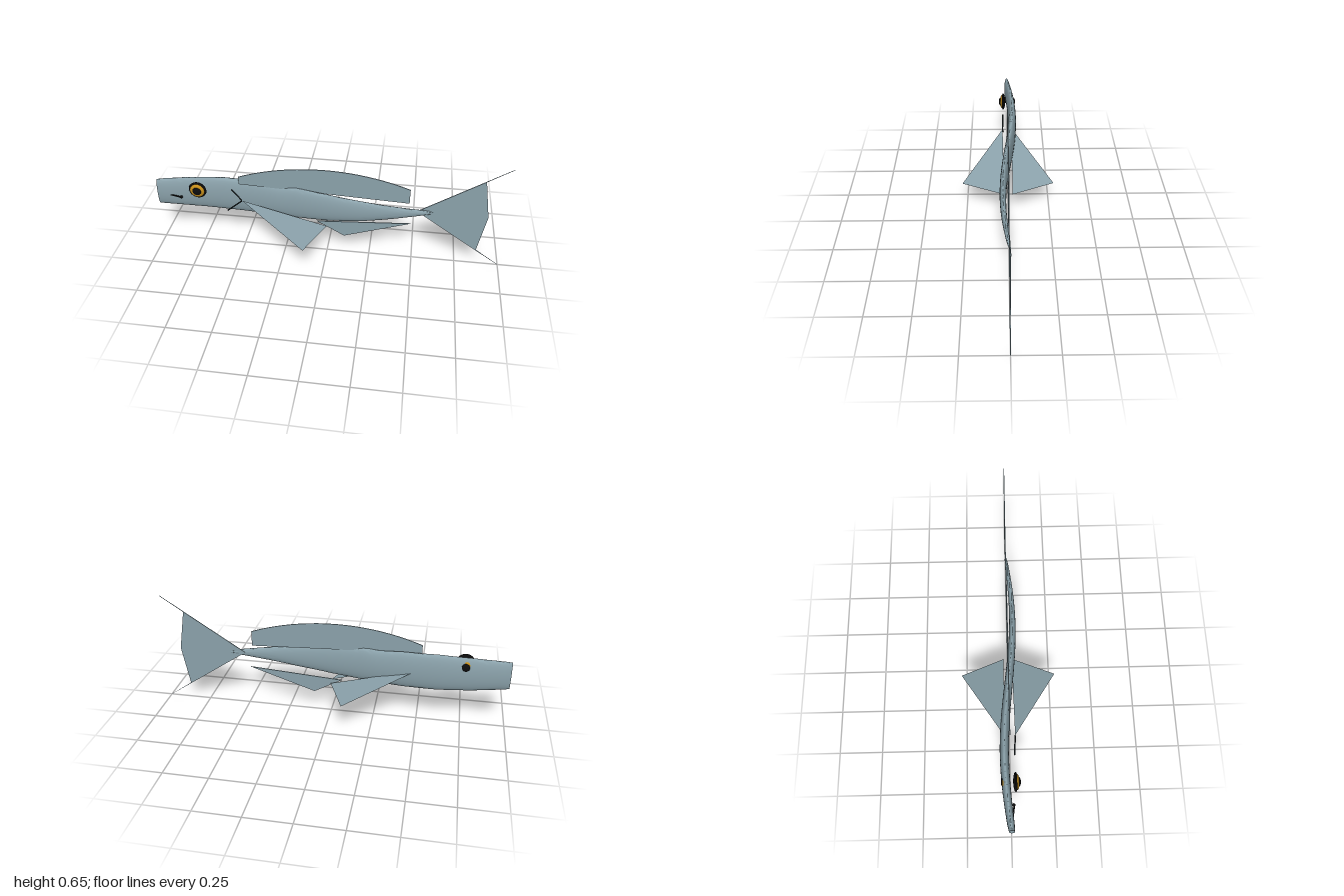
import * as THREE from 'three';
import { toCreasedNormals } from 'three/addons/utils/BufferGeometryUtils.js';

const material = (name, color, side = THREE.FrontSide) => {
  const m = new THREE.MeshStandardMaterial({ color, side });
  m.name = name;
  return m;
};

// Body stations: x, top y, bottom y, half width
const STATIONS = [
  [-1, 0.413, 0.247, 0.016], [-0.96, 0.418, 0.243, 0.02], [-0.8, 0.431, 0.231, 0.023],
  [-0.6, 0.441, 0.221, 0.025], [-0.4, 0.436, 0.219, 0.025], [-0.27, 0.424, 0.222, 0.024],
  [-0.18, 0.43, 0.225, 0.023], [0, 0.416, 0.236, 0.021], [0.2, 0.393, 0.258, 0.018],
  [0.4, 0.367, 0.291, 0.014], [0.54, 0.35, 0.315, 0.01], [0.58, 0.344, 0.322, 0.007],
  [0.6, 0.336, 0.329, 0.003],
];

function sampleStation(x) {
  let i = 0;
  while (i < STATIONS.length - 2 && x > STATIONS[i + 1][0]) i++;
  const a = STATIONS[i], b = STATIONS[i + 1];
  const t = THREE.MathUtils.clamp((x - a[0]) / (b[0] - a[0]), 0, 1);
  return a.map((v, k) => v + (b[k] - v) * t);
}

// Sideways swimming wave of the spine
const spineZ = (x) => -0.031 * Math.sin(((x + 1) / 0.8) * Math.PI);

function bodyGeometry() {
  const g = new THREE.CylinderGeometry(1, 1, 1.6, 32, 80);
  g.rotateZ(-Math.PI / 2);
  const p = g.attributes.position;
  for (let i = 0; i < p.count; i++) {
    const x = p.getX(i) - 0.2;
    const [, top, bottom, w] = sampleStation(x);
    p.setXYZ(i, x, (top + bottom) / 2 + p.getY(i) * (top - bottom) / 2, spineZ(x) + p.getZ(i) * w);
  }
  return toCreasedNormals(g, 0.9);
}

// Thin upright fin centred on z = 0
function finGeometry(shape) {
  const g = new THREE.ExtrudeGeometry(shape, { depth: 0.005, bevelEnabled: false, curveSegments: 20 });
  return g.translate(0, 0, -0.0025);
}

const outline = (points) => new THREE.Shape(points.map(([x, y]) => new THREE.Vector2(x, y)));

function triangleGeometry(...corners) {
  const g = new THREE.BufferGeometry();
  g.setAttribute('position', new THREE.Float32BufferAttribute(corners.flat(), 3));
  g.computeVertexNormals();
  return g;
}

function lineGeometry(points, radius) {
  const path = new THREE.CurvePath();
  const v = points.map((p) => new THREE.Vector3(...p));
  for (let i = 1; i < v.length; i++) path.add(new THREE.LineCurve3(v[i - 1], v[i]));
  return new THREE.TubeGeometry(path, 24, radius, 6, false);
}

export function createModel() {
  const skin = material('slate skin', 0x8ba2ab);
  const finSkin = material('slate fin', 0x8ba2ab, THREE.DoubleSide);
  const gold = material('gold iris', 0xc8901c);
  const black = material('black', 0x0c0c0c);
  const dark = material('dark gill', 0x2c3639);

  const fish = new THREE.Group();
  fish.name = 'fish';
  const add = (name, geometry, mat, parent = fish) => {
    const mesh = new THREE.Mesh(geometry, mat);
    mesh.name = name;
    parent.add(mesh);
    return mesh;
  };

  add('body', bodyGeometry(), skin);

  // Dorsal fin with an arched top
  const dorsal = new THREE.Shape();
  dorsal.moveTo(-0.51, 0.425);
  dorsal.lineTo(-0.51, 0.473);
  dorsal.bezierCurveTo(-0.2, 0.59, 0.15, 0.59, 0.465, 0.475);
  dorsal.lineTo(0.465, 0.385);
  add('dorsalFin', finGeometry(dorsal), skin);

  // Forked tail
  add('tailFin', finGeometry(outline([
    [0.51, 0.335], [1, 0], [0.865, 0.095], [0.905, 0.33], [0.865, 0.565], [1, 0.655],
  ])), skin);

  // Fin under the belly
  add('analFin', finGeometry(outline([[-0.06, 0.208], [0.1, 0.118], [0.48, 0.245]])), skin);

  // Paired fins and eyes
  for (const s of [1, -1]) {
    const side = s > 0 ? 'front' : 'back';
    add(side + 'PectoralFin', triangleGeometry(
      [-0.49, 0.33, s * 0.03], [-0.1, 0.2, s * 0.27], [0, 0.194, s * 0.024]), finSkin);

    const eye = new THREE.Group();
    eye.name = side + 'Eye';
    eye.position.set(-0.75, 0.378, 0);
    fish.add(eye);
    // Rim, iris and pupil: flattened balls, each standing further out
    for (const [name, r, z, depth, mat] of [
      ['rim', 0.052, 0.025, 0.013, black],
      ['iris', 0.042, 0.032, 0.014, gold],
      ['pupil', 0.026, 0.04, 0.013, black],
    ]) {
      const ball = add(name, new THREE.SphereGeometry(1, 28, 18), mat, eye);
      ball.scale.set(r, r, depth);
      ball.position.z = s * z;
    }
  }

  // Mouth and gill lines on the front flank
  add('mouth', lineGeometry([[-0.95, 0.318, 0.004], [-0.86, 0.309, 0.016]], 0.005), black);
  add('mouthCorner', new THREE.SphereGeometry(0.009, 10, 8), black).position.set(-0.86, 0.31, 0.014);
  add('gill', lineGeometry([[-0.548, 0.402, 0.028], [-0.49, 0.33, 0.03], [-0.582, 0.25, 0.026]], 0.004), dark);

  return fish;
}
